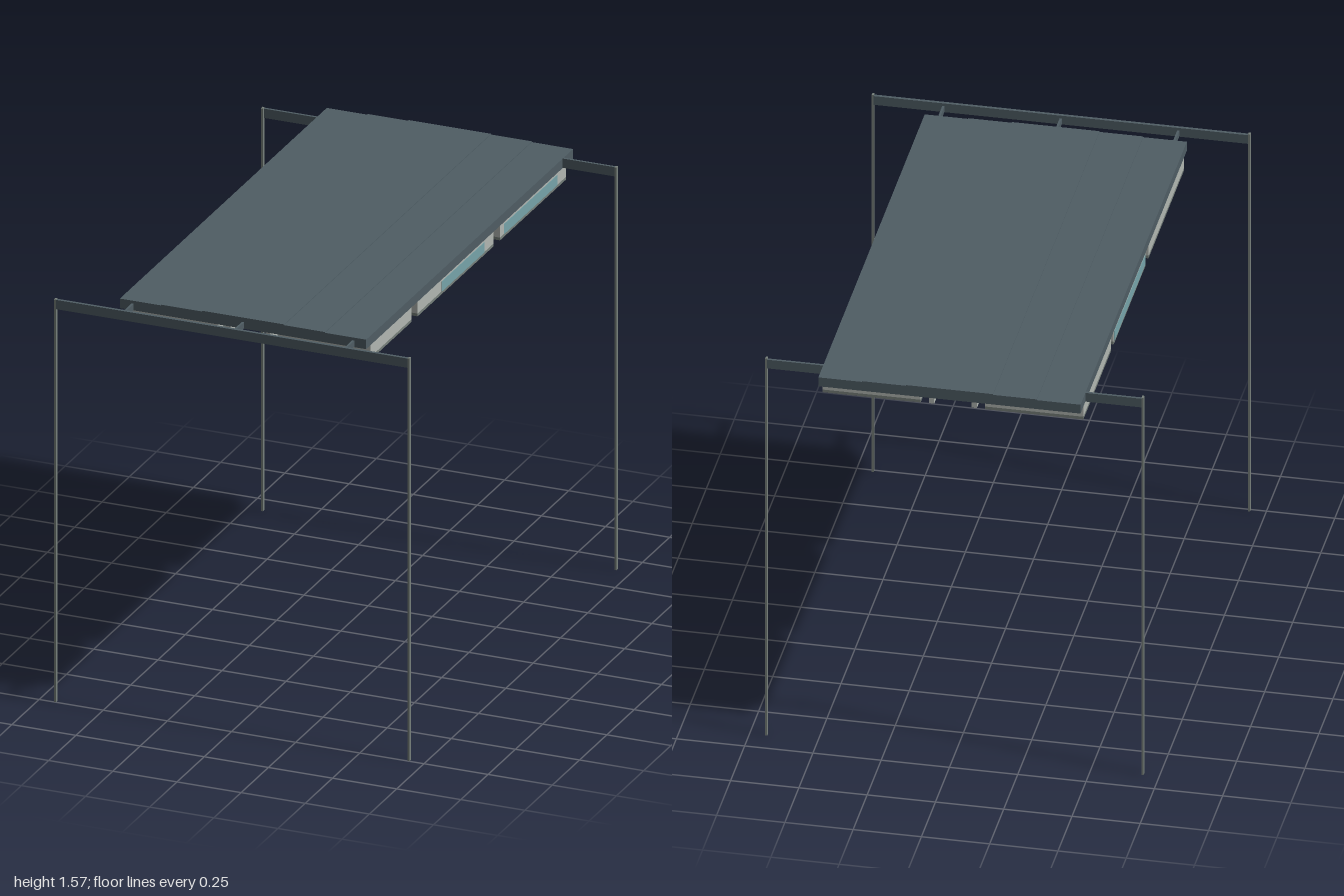
import * as THREE from 'three';

const mat = (name, color) => {
  const m = new THREE.MeshStandardMaterial({ color });
  m.name = name;
  return m;
};

export function createModel() {
  const slate = mat('slate roof', 0x4f5d64);
  const steel = mat('post steel', 0x77807b);
  const wall = mat('pale wall', 0xb2b7b2);
  const floor = mat('grey brown panel', 0x9c978e);
  const glass = mat('teal glass', 0x76a4aa);
  const model = new THREE.Group();

  // Box given by its limits on each axis
  const box = (name, material, x0, x1, y0, y1, z0, z1, parent = model) => {
    const mesh = new THREE.Mesh(new THREE.BoxGeometry(x1 - x0, y1 - y0, z1 - z0), material);
    mesh.position.set((x0 + x1) / 2, (y0 + y1) / 2, (z0 + z1) / 2);
    mesh.name = name;
    parent.add(mesh);
    return mesh;
  };

  // The same box on the left (s = 1) or mirrored to the right (s = -1)
  const sideBox = (s, name, material, x0, x1, ...rest) =>
    box(name, material, Math.min(s * x0, s * x1), Math.max(s * x0, s * x1), ...rest);

  // Roof deck, rising in two shallow steps towards the middle
  const roof = new THREE.Group();
  roof.name = 'roof';
  model.add(roof);
  box('roofDeck', slate, -0.48, 0.48, 1.53, 1.567, -1, 0.895, roof);
  box('roofStep', slate, -0.32, 0.32, 1.567, 1.57, -1, 0.895, roof);
  box('roofRidge', slate, -0.16, 0.16, 1.57, 1.573, -1, 0.895, roof);
  box('ceiling', floor, -0.47, 0.47, 1.527, 1.53, -0.97, 0.88, roof);

  // Gantry frames: a cross beam on two posts at each end
  for (const [end, z0, z1, p0, p1] of [
    ['front', 0.984, 0.996, 0.986, 1.0],
    ['back', -0.915, -0.905, -0.913, -0.897],
  ]) {
    const frame = new THREE.Group();
    frame.name = end + 'Frame';
    model.add(frame);
    box('crossBeam', slate, -0.685, 0.685, 1.531, 1.567, z0, z1, frame);
    for (const s of [-1, 1])
      sideBox(s, 'post', steel, 0.685, 0.693, 0, 1.57, p0, p1, frame);
  }

  // Joists tying the front beam to the roof
  for (const x of [-0.43, 0, 0.43])
    box('joist', slate, x - 0.004, x + 0.004, 1.532, 1.556, 0.89, 0.986);

  // Hanging cabins: a ring of thin pale walls with a steel rim, open below,
  // with recessed panels inside and a door lintel reaching to the corridor
  const inner = 0.118, outer = 0.478, t = 0.01;
  const cabin = (s, z0, z1) => {
    const g = new THREE.Group();
    g.name = s > 0 ? 'leftCabin' : 'rightCabin';
    model.add(g);
    for (const [name, material, y0, y1] of [
      ['cabinWall', wall, 1.482, 1.529],
      ['cabinRim', steel, 1.471, 1.482],
    ]) {
      sideBox(s, name, material, inner, inner + t, y0, y1, z0, z1, g);
      sideBox(s, name, material, outer - t, outer, y0, y1, z0, z1, g);
      sideBox(s, name, material, inner + t, outer - t, y0, y1, z0, z0 + t, g);
      sideBox(s, name, material, inner + t, outer - t, y0, y1, z1 - t, z1, g);
    }
    const d = (z1 - z0 - 2 * t) / 3;
    for (let i = 0; i < 3; i++) {
      const a = z0 + t + i * d;
      sideBox(s, 'recessedPanel', floor, inner + t, outer - t, 1.513, 1.528, a + 0.002, a + d - 0.002, g);
    }
    const mid = (z0 + z1) / 2;
    sideBox(s, 'doorLintel', wall, 0.088, inner, 1.508, 1.529, mid - 0.04, mid + 0.04, g);
  };
  for (const [z0, z1] of [[0.475, 0.85], [-0.275, 0.42], [-0.94, -0.335]]) cabin(1, z0, z1);
  for (const [z0, z1] of [[0.22, 0.85], [-0.4, 0.17], [-0.94, -0.45]]) cabin(-1, z0, z1);

  // Window bands on the outer walls
  for (const [s, z0, z1] of [[1, -0.19, 0.2], [1, -0.86, -0.37], [-1, -0.39, 0.16]])
    sideBox(s, 'windowBand', glass, 0.477, 0.4795, 1.482, 1.521, z0, z1);

  // Corridor walls along the middle
  for (const s of [-1, 1])
    sideBox(s, 'corridorWall', wall, 0.068, 0.088, 1.472, 1.529, -0.94, 0.85);

  return model;
}
